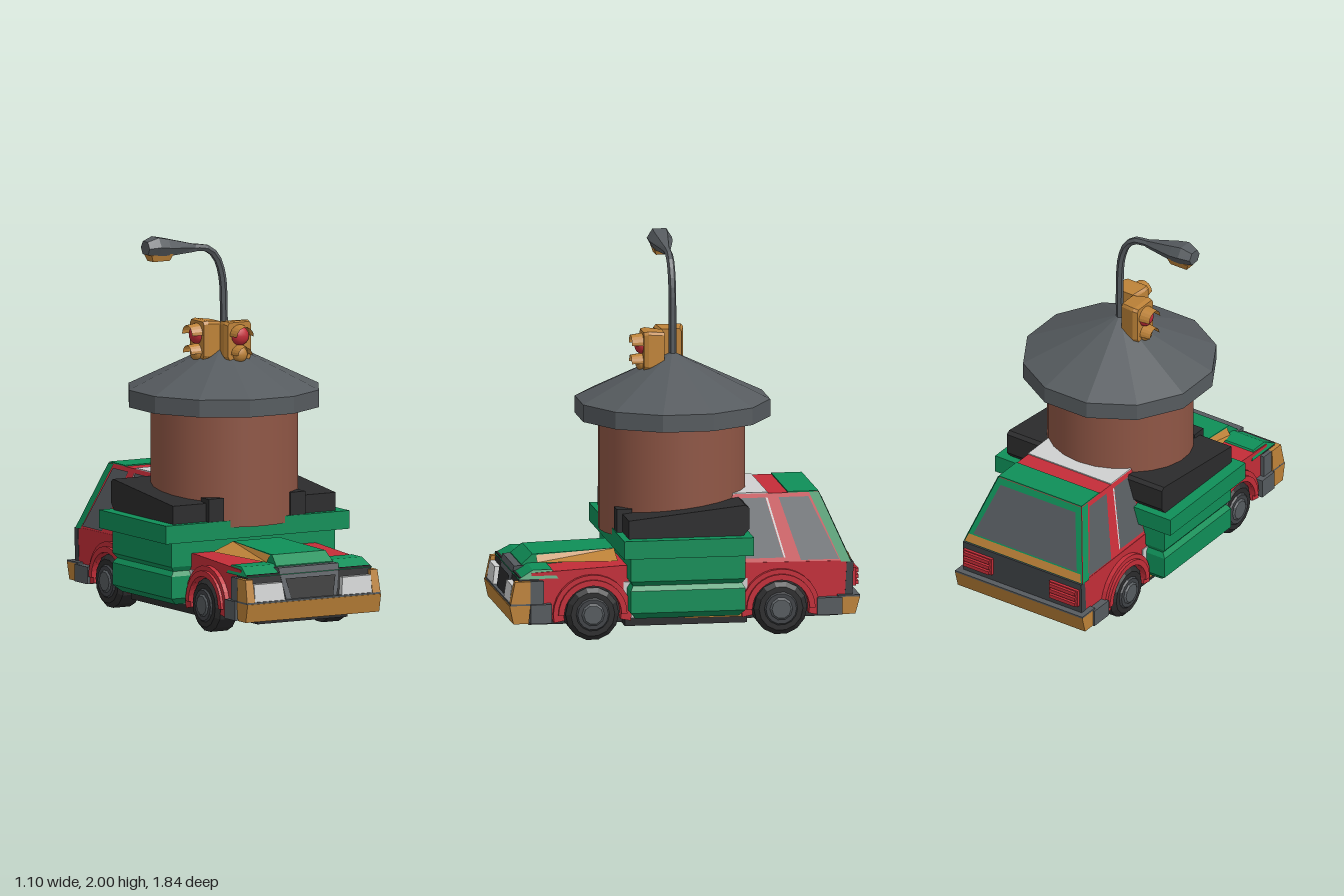
import * as THREE from 'three';

const paint = (name, color) => {
  const m = new THREE.MeshStandardMaterial({ color, side: THREE.DoubleSide });
  m.name = name;
  return m;
};
const GREEN = paint('green', 0x0f8f58), RED = paint('red', 0xc42d38), ORANGE = paint('orange', 0xbd8238);
const STEEL = paint('steel grey', 0x565b5f), BLACK = paint('black', 0x2b2b2c), BRICK = paint('tank brown', 0x8f5645);
const WHITE = paint('white', 0xcfd0d0), DARK = paint('dark grey', 0x3f4246);

// Faceted normals
const flat = (g) => {
  const f = g.index ? g.toNonIndexed() : g;
  f.computeVertexNormals();
  return f;
};

// Block between a lower and an upper rectangle, each [x0, x1, z0, z1]
function frustum(y0, a, y1, b = a) {
  const g = new THREE.BoxGeometry(1, 1, 1), p = g.attributes.position;
  for (let i = 0; i < p.count; i++) {
    const up = p.getY(i) > 0, r = up ? b : a;
    p.setXYZ(i, r[p.getX(i) > 0 ? 1 : 0], up ? y1 : y0, r[p.getZ(i) > 0 ? 3 : 2]);
  }
  return flat(g);
}

// Flat polygon through corner points
function polygon(pts) {
  const v = [];
  for (let i = 1; i < pts.length - 1; i++) v.push(...pts[0], ...pts[i], ...pts[i + 1]);
  const g = new THREE.BufferGeometry();
  g.setAttribute('position', new THREE.Float32BufferAttribute(v, 3));
  g.computeVertexNormals();
  return g;
}

// Skin over equal-length rings of points, closed at both ends
function loft(rings) {
  const v = [], n = rings[0].length;
  const fan = (r) => { for (let i = 1; i < n - 1; i++) v.push(...r[0], ...r[i], ...r[i + 1]); };
  for (let k = 0; k < rings.length - 1; k++) {
    for (let i = 0; i < n; i++) {
      const j = (i + 1) % n, A = rings[k], B = rings[k + 1];
      v.push(...A[i], ...A[j], ...B[j], ...A[i], ...B[j], ...B[i]);
    }
  }
  fan([...rings[0]].reverse());
  fan(rings[rings.length - 1]);
  const g = new THREE.BufferGeometry();
  g.setAttribute('position', new THREE.Float32BufferAttribute(v, 3));
  g.computeVertexNormals();
  return g;
}

// Side profile in (z, y) extruded from x0 to x1
function sideExtrude(shape, x0, x1) {
  const g = new THREE.ExtrudeGeometry(shape, { depth: x1 - x0, bevelEnabled: false, curveSegments: 8 });
  return g.rotateY(-Math.PI / 2).translate(x1, 0, 0);
}

const WHEELS = [0.485, -0.5];

export function createModel() {
  const model = new THREE.Group();
  const add = (name, geo, mat, parent = model) => {
    const m = new THREE.Mesh(geo, mat);
    m.name = name;
    parent.add(m);
    return m;
  };
  const sub = (name) => {
    const g = new THREE.Group();
    g.name = name;
    model.add(g);
    return g;
  };

  // Car body with wheel openings
  const car = sub('car');
  const body = new THREE.Shape();
  body.moveTo(0.8, 0.14).lineTo(0.8, 0.36).lineTo(0.34, 0.385).lineTo(-0.87, 0.375).lineTo(-0.86, 0.2).lineTo(-0.7, 0.14);
  body.absarc(-0.5, 0.14, 0.16, Math.PI, 0, true);
  body.lineTo(0.32, 0.14);
  body.absarc(0.485, 0.14, 0.16, Math.PI, 0, true);
  add('body', sideExtrude(body, -0.37, 0.37), RED, car);
  add('sills', frustum(0.11, [-0.375, 0.375, -0.33, 0.32], 0.3), WHITE, car);
  add('sillTrim', frustum(0.1, [-0.378, 0.378, -0.3, 0], 0.12), ORANGE, car);
  add('chassis', frustum(0.07, [-0.27, 0.27, -0.82, 0.8], 0.3), BLACK, car);
  add('floor', frustum(0.065, [-0.36, 0.36, -0.33, 0.31], 0.11), BLACK, car);

  // Hood: raised green centre with orange and red flanks
  add('hood', loft([0.33, 0.76, 0.82].map((z, i) => {
    const w = [0.14, 0.16, 0.17][i], y = [0.435, 0.42, 0.37][i];
    return [[-w, 0.34, z], [w, 0.34, z], [w, y, z], [-w, y, z]];
  })), GREEN, car);
  add('hoodFront', frustum(0.33, [-0.375, 0.375, 0.66, 0.87], 0.375, [-0.36, 0.36, 0.69, 0.79]), GREEN, car);
  for (const s of [1, -1]) {
    add('hoodWedge', polygon([[s * 0.14, 0.434, 0.33], [s * 0.26, 0.388, 0.33], [s * 0.18, 0.378, 0.74], [s * 0.16, 0.415, 0.74]]), ORANGE, car);
  }

  // Nose, grille and lamps
  add('nose', frustum(0.19, [-0.38, 0.38, 0.76, 0.885], 0.34, [-0.37, 0.37, 0.76, 0.865]), BLACK, car);
  add('grilleFrame', frustum(0.19, [-0.15, 0.15, 0.8, 0.895], 0.365, [-0.18, 0.18, 0.8, 0.86]), STEEL, car);
  add('grille', polygon([[-0.125, 0.205, 0.899], [0.125, 0.205, 0.899], [0.15, 0.31, 0.88], [-0.15, 0.31, 0.88]]), BLACK, car);
  for (const s of [1, -1]) {
    const x = (a, b) => [Math.min(s * a, s * b), Math.max(s * a, s * b)];
    add('headlight', frustum(0.205, [...x(0.17, 0.35), 0.86, 0.912], 0.295, [...x(0.18, 0.35), 0.86, 0.9]), WHITE, car);
    add('indicator', frustum(0.2, [...x(0.352, 0.4), 0.81, 0.915], 0.32, [...x(0.352, 0.395), 0.81, 0.89]), ORANGE, car);
    add('indicatorSurround', frustum(0.2, [...x(0.37, 0.393), 0.74, 0.81], 0.32), STEEL, car);
    add('frontBumperEnd', frustum(0.1, [...x(0.31, 0.41), 0.7, 0.81], 0.2), STEEL, car);
    add('rearBumperEnd', frustum(0.1, [...x(0.31, 0.41), -0.82, -0.69], 0.19), STEEL, car);
    // Tail lights with ribs
    add('tailLight', frustum(0.24, [...x(0.18, 0.36), -0.9, -0.85], 0.335), RED, car);
    for (const y of [0.245, 0.277, 0.309]) add('tailLightRib', frustum(y, [...x(0.19, 0.35), -0.915, -0.9], y + 0.02), RED, car);
  }

  // Bumpers
  add('frontBumper', frustum(0.1, [-0.4, 0.4, 0.82, 0.9], 0.195, [-0.4, 0.4, 0.81, 0.92]), ORANGE, car);
  add('frontBumperTop', frustum(0.195, [-0.4, 0.4, 0.81, 0.915], 0.204), STEEL, car);
  add('rearBumper', frustum(0.1, [-0.4, 0.4, -0.89, -0.81], 0.19, [-0.4, 0.4, -0.915, -0.81]), ORANGE, car);
  add('rearBumperTop', frustum(0.19, [-0.4, 0.4, -0.915, -0.8], 0.199), STEEL, car);
  add('rearPanel', frustum(0.19, [-0.372, 0.372, -0.88, -0.84], 0.37, [-0.372, 0.372, -0.885, -0.85]), DARK, car);

  // Cabin with painted roof, windows and tail
  const cabin = sub('cabin');
  add('cabinShell', frustum(0.37, [-0.37, 0.37, -0.87, -0.12], 0.72, [-0.26, 0.26, -0.72, -0.27]), RED, cabin);
  add('roofRear', frustum(0.72, [-0.26, 0.26, -0.72, -0.56], 0.726), GREEN, cabin);
  add('roofFront', frustum(0.72, [-0.26, 0.26, -0.455, -0.27], 0.726), WHITE, cabin);
  const t = (y) => (y - 0.37) / 0.35;
  const side = (s, pts) => polygon(pts.map(([z, y]) => [s * (0.375 - 0.11 * t(y)), y, z]));
  const rear = (pts, lift) => polygon(pts.map(([x, y]) => [x, y, -0.87 + 0.15 * t(y) - lift]));
  for (const s of [1, -1]) {
    add('frontSideWindow', side(s, [[-0.31, 0.4], [-0.52, 0.4], [-0.44, 0.7], [-0.31, 0.7]]), STEEL, cabin);
    add('rearSideWindow', side(s, [[-0.61, 0.385], [-0.81, 0.385], [-0.665, 0.7], [-0.51, 0.7]]), STEEL, cabin);
    add('pillarTrim', side(s, [[-0.522, 0.4], [-0.53, 0.4], [-0.452, 0.7], [-0.442, 0.7]]), WHITE, cabin);
    add('rearPillar', side(s, [[-0.82, 0.37], [-0.872, 0.37], [-0.722, 0.72], [-0.67, 0.72]]), GREEN, cabin);
  }
  add('tailgate', rear([[-0.37, 0.37], [0.37, 0.37], [0.26, 0.72], [-0.26, 0.72]], 0.004), GREEN, cabin);
  add('rearWindow', rear([[-0.325, 0.42], [0.325, 0.42], [0.235, 0.69], [-0.235, 0.69]], 0.008), STEEL, cabin);
  add('tailStripe', rear([[-0.365, 0.375], [0.365, 0.375], [0.35, 0.415], [-0.35, 0.415]], 0.01), ORANGE, cabin);

  // Wheels and arches
  for (const z of WHEELS) {
    for (const s of [1, -1]) {
      const wheel = sub('wheel');
      wheel.position.set(s * 0.345, 0.14, z);
      const disc = (name, r0, r1, w, x, mat, n) => add(name,
        flat(new THREE.CylinderGeometry(r1, r0, w, n).rotateZ(-Math.PI / 2 * s).translate(s * x, 0, 0)), mat, wheel);
      disc('tyre', 0.14, 0.14, 0.1, -0.01, BLACK, 14);
      disc('tyreShoulder', 0.14, 0.115, 0.02, 0.05, BLACK, 14);
      disc('rim', 0.09, 0.08, 0.012, 0.063, DARK, 14);
      disc('hubcap', 0.065, 0.05, 0.012, 0.071, STEEL, 10);
      const arch = new THREE.Shape();
      arch.absarc(z, 0.14, 0.205, -0.2, Math.PI + 0.2, false);
      arch.absarc(z, 0.14, 0.15, Math.PI + 0.2, -0.2, true);
      add('wheelArch', sideExtrude(arch, s > 0 ? 0.34 : -0.395, s > 0 ? 0.395 : -0.34), RED, car);
      const lip = new THREE.Shape();
      lip.absarc(z, 0.14, 0.18, 0, Math.PI, false);
      lip.absarc(z, 0.14, 0.15, Math.PI, 0, true);
      add('archLip', sideExtrude(lip, s > 0 ? 0.39 : -0.41, s > 0 ? 0.41 : -0.39), RED, car);
    }
  }

  // Waste container around the middle of the car
  const bin = sub('container');
  const tier = (x, z0, z1) => [-x, x, z0, z1];
  const tiers = [[0.12, 0.45, 0.27], [0.155, 0.49, 0.3], [0.27, 0.49, 0.3], [0.295, 0.47, 0.285], [0.32, 0.49, 0.3], [0.46, 0.49, 0.3]];
  for (let i = 0; i < tiers.length - 1; i++) {
    const [y0, x0, z0] = tiers[i], [y1, x1, z1] = tiers[i + 1];
    add('containerWall', frustum(y0, tier(x0, -z0, z0), y1, tier(x1, -z1, z1)), GREEN, bin);
  }
  add('containerRim', frustum(0.45, tier(0.55, -0.335, 0.345), 0.545), GREEN, bin);

  // Sloping lids on both sides of the tank
  const lid = new THREE.Shape([[0.31, 0.545], [0.31, 0.64], [-0.3, 0.705], [-0.32, 0.69], [-0.32, 0.58], [-0.29, 0.545]]
    .map(([z, y]) => new THREE.Vector2(z, y)));
  for (const s of [1, -1]) {
    add('lid', sideExtrude(lid, s > 0 ? 0.2 : -0.487, s > 0 ? 0.487 : -0.2), BLACK, bin);
    add('lidHinge', frustum(0.545, s > 0 ? [0.2, 0.29, 0.26, 0.34] : [-0.29, -0.2, 0.26, 0.34], 0.665), BLACK, bin);
  }

  // Water tank with conical roof
  const tank = sub('waterTank');
  add('tankWall', new THREE.CylinderGeometry(0.38, 0.38, 0.6, 24).translate(0, 0.81, 0.005), BRICK, tank);
  add('tankRoofRim', flat(new THREE.CylinderGeometry(0.507, 0.507, 0.09, 12, 1, false, Math.PI / 12).translate(0, 1.145, 0)), STEEL, tank);
  add('tankRoof', flat(new THREE.CylinderGeometry(0.015, 0.507, 0.235, 12, 1, false, Math.PI / 12).translate(0, 1.3075, 0)), STEEL, tank);

  // Two traffic lights, one facing forward and one to the right
  for (const turn of [0, -Math.PI / 2]) {
    const light = sub('trafficLight');
    light.rotation.y = turn;
    add('housing', loft([[0.05, 0.055, 1.36, 1.54], [0.135, 0.078, 1.34, 1.55], [0.16, 0.07, 1.345, 1.545]].map(([z, w, a, b]) =>
      [[-w * 0.8, a, z], [w * 0.8, a, z], [w, a + 0.025, z], [w, b - 0.015, z], [w * 0.85, b, z], [-w * 0.85, b, z], [-w, b - 0.015, z], [-w, a + 0.025, z]])), ORANGE, light);
    [[1.475, RED], [1.378, ORANGE]].forEach(([y, mat], i) => {
      const r = 0.05 - i * 0.008;
      add('lens', new THREE.SphereGeometry(r, 12, 8).scale(1, 1, 0.7).translate(0, y, 0.165), mat, light);
      add('visor', flat(new THREE.CylinderGeometry(r, r + 0.008, 0.06, 10, 1, true, Math.PI / 2, Math.PI)
        .rotateX(Math.PI / 2).translate(0, y, 0.19)), ORANGE, light);
    });
  }

  // Street lamp on top
  const lamp = sub('streetLamp');
  const path = new THREE.CatmullRomCurve3([[0, 1.38], [0, 1.6], [-0.01, 1.77], [-0.045, 1.87], [-0.1, 1.918], [-0.2, 1.93]]
    .map(([x, y]) => new THREE.Vector3(x, y, 0)));
  add('lampPole', flat(new THREE.TubeGeometry(path, 14, 0.02, 6)), STEEL, lamp);
  // Each section: x, bottom, top, half width
  add('lampHead', loft([[-0.17, 1.908, 1.945, 0.018], [-0.35, 1.9, 1.988, 0.06], [-0.41, 1.905, 2, 0.066], [-0.47, 1.912, 1.98, 0.045]].map(([x, a, b, w]) => {
    const m = (a + b) / 2;
    return [[x, a, -w * 0.6], [x, m, -w], [x, b, -w * 0.55], [x, b, w * 0.55], [x, m, w], [x, a, w * 0.6]];
  })), STEEL, lamp);
  add('lampLens', frustum(1.875, [-0.44, -0.34, -0.03, 0.03], 1.91, [-0.455, -0.325, -0.04, 0.04]), ORANGE, lamp);

  return model;
}
